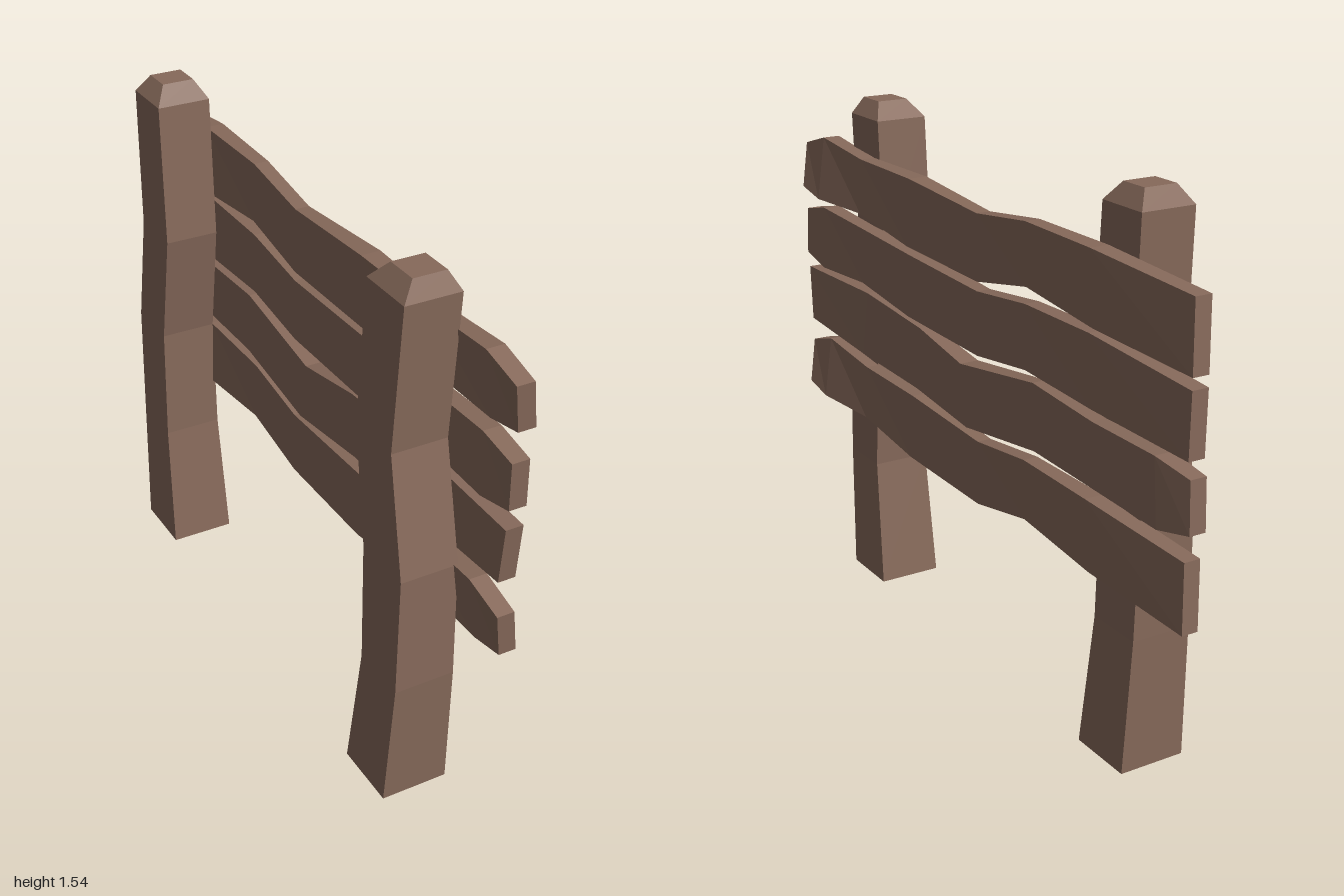
import * as THREE from 'three';

const wood = new THREE.MeshStandardMaterial({ color: 0x86695a, flatShading: true });

// Closed solid through four-cornered rings, counterclockwise as seen from the last ring
function loft(name, rings) {
  const index = [0, 2, 1, 0, 3, 2];
  for (let i = 0; i < rings.length - 1; i++) {
    for (let j = 0; j < 4; j++) {
      const k = (j + 1) % 4, a = i * 4 + j, b = i * 4 + k;
      index.push(a, b, b + 4, a, b + 4, a + 4);
    }
  }
  const e = (rings.length - 1) * 4;
  index.push(e, e + 1, e + 2, e, e + 2, e + 3);
  const indexed = new THREE.BufferGeometry();
  indexed.setAttribute('position', new THREE.Float32BufferAttribute(rings.flat(2), 3));
  indexed.setIndex(index);
  const geometry = indexed.toNonIndexed();
  geometry.computeVertexNormals();
  const mesh = new THREE.Mesh(geometry, wood);
  mesh.name = name;
  return mesh;
}

// Post sections share heights and depths: [y, x0, x1]
const postLevels = [
  [0, -0.12, 0.075], [0.39, -0.113, 0.062], [0.74, -0.11, 0.056],
  [1.08, -0.11, 0.05], [1.49, -0.108, 0.05], [1.54, -0.072, 0.022],
];

// spans: [z0, z1] per level
function post(name, spans) {
  return loft(name, postLevels.map(([y, x0, x1], i) => {
    const [z0, z1] = spans[i];
    return [[x0, y, z0], [x0, y, z1], [x1, y, z1], [x1, y, z0]];
  }));
}

// Plank depth along its length: [back x, front x, twist]
const plankDepth = [
  [0.055, 0.105, 0.012], [0.053, 0.105, 0.013], [0.055, 0.1, 0.004], [0.047, 0.104, 0],
  [0.055, 0.097, 0], [0.058, 0.102, -0.002], [0.054, 0.108, -0.004], [0.045, 0.092, 0.003],
];

// sections: [top z, top y, bottom z, bottom y], running from +z to -z
function plank(name, sections, twist = 1, drop = 0) {
  return loft(name, sections.map(([zt, yt, zb, yb], i) => {
    const [x0, x1, lean] = plankDepth[i];
    const s = lean * twist;
    return [
      [x0 + s, yb - drop, zb], [x0 - s, yt - drop, zt],
      [x1 - s, yt - drop, zt], [x1 + s, yb - drop, zb],
    ];
  }));
}

export function createModel() {
  const group = new THREE.Group();
  group.name = 'woodenFence';

  // Crooked posts with chamfered tops
  group.add(
    post('leftPost', [[0.585, 0.78], [0.635, 0.805], [0.622, 0.803],
      [0.57, 0.735], [0.595, 0.762], [0.64, 0.735]]),
    post('rightPost', [[-0.738, -0.54], [-0.754, -0.583], [-0.76, -0.588],
      [-0.703, -0.533], [-0.72, -0.56], [-0.69, -0.604]]),
  );

  // Wavy planks, the bottom one repeating the top one
  const outer = [
    [0.998, 1.365, 0.985, 1.23], [0.877, 1.4, 0.877, 1.21], [0.62, 1.378, 0.62, 1.215],
    [0.31, 1.38, 0.33, 1.18], [-0.05, 1.355, -0.05, 1.167], [-0.3, 1.388, -0.3, 1.215],
    [-0.6, 1.388, -0.61, 1.187], [-0.98, 1.36, -0.99, 1.173],
  ];
  const upperMiddle = [
    [0.995, 1.155, 0.985, 1.015], [0.877, 1.18, 0.87, 0.99], [0.62, 1.168, 0.62, 1.0],
    [0.31, 1.157, 0.33, 0.97], [-0.05, 1.14, -0.05, 0.957], [-0.3, 1.17, -0.3, 0.99],
    [-0.6, 1.175, -0.61, 0.98], [-0.985, 1.14, -0.985, 0.967],
  ];
  const lowerMiddle = [
    [0.99, 0.965, 0.97, 0.797], [0.59, 0.975, 0.62, 0.775], [0.27, 0.95, 0.29, 0.76],
    [0.03, 0.912, 0, 0.733], [-0.33, 0.963, -0.34, 0.775], [-0.61, 0.947, -0.61, 0.77],
    [-0.877, 0.95, -0.89, 0.765], [-0.993, 0.925, -1, 0.786],
  ];
  group.add(
    plank('topPlank', outer),
    plank('upperMiddlePlank', upperMiddle, 0.4),
    plank('lowerMiddlePlank', lowerMiddle, 0.2),
    plank('bottomPlank', outer, 1, 0.65),
  );
  return group;
}
